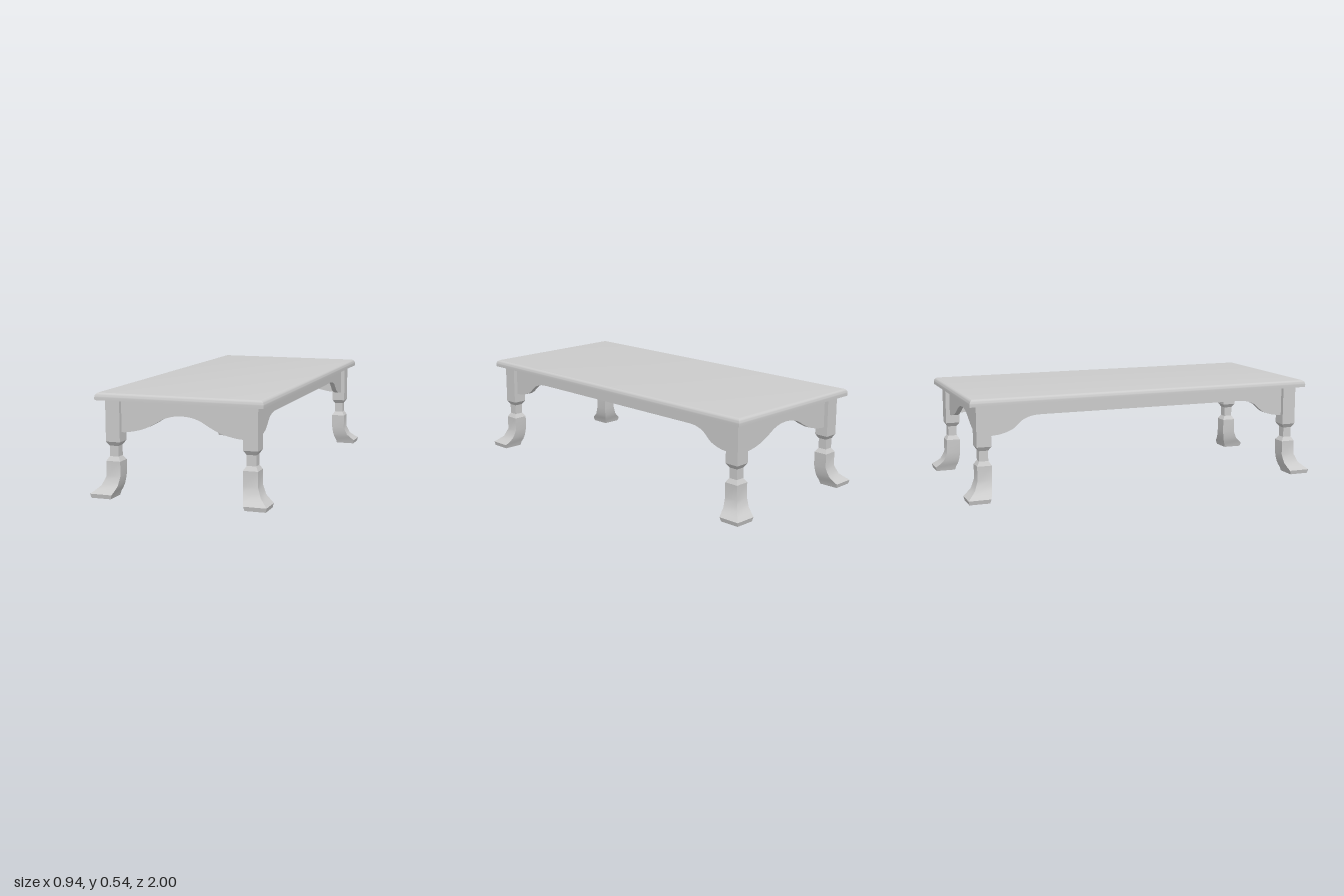
import * as THREE from 'three';
import { toCreasedNormals } from 'three/addons/utils/BufferGeometryUtils.js';

const material = new THREE.MeshStandardMaterial({ color: 0xcccccc });

// Lofts rectangular sections [y, x0, x1, z0, z1], listed bottom to top, into a capped solid
function loftRects(sections) {
  const pos = [], index = [];
  for (const [y, x0, x1, z0, z1] of sections) {
    pos.push(x0, y, z1, x1, y, z1, x1, y, z0, x0, y, z0);
  }
  for (let s = 0; s < sections.length - 1; s++) {
    for (let i = 0; i < 4; i++) {
      const a = s * 4 + i, b = s * 4 + (i + 1) % 4;
      index.push(a, b, b + 4, a, b + 4, a + 4);
    }
  }
  const t = (sections.length - 1) * 4;
  index.push(0, 2, 1, 0, 3, 2, t, t + 1, t + 2, t, t + 2, t + 3);
  const geo = new THREE.BufferGeometry();
  geo.setAttribute('position', new THREE.Float32BufferAttribute(pos, 3));
  geo.setIndex(index);
  return toCreasedNormals(geo, 0.5);
}

function addMesh(parent, name, geometry) {
  const mesh = new THREE.Mesh(geometry, material);
  mesh.name = name;
  parent.add(mesh);
  return mesh;
}

// Slab with a rounded upper edge and mitred corners
function tabletopGeometry() {
  const hx = 0.448, hz = 0.977, sections = [[0.502, -hx, hx, -hz, hz]];
  for (let i = 0; i <= 6; i++) {
    const a = (i / 6) * Math.PI / 2;
    const inset = 0.021 * (1 - Math.cos(a));
    const x = hx - inset, z = hz - inset;
    sections.push([0.517 + 0.024 * Math.sin(a), -x, x, -z, z]);
  }
  return loftRects(sections);
}

// Square leg sweeping diagonally out to its foot: [y, inner, outer]
const legProfile = [
  [0, 0.358, 0.467], [0.022, 0.352, 0.472], [0.04, 0.344, 0.45], [0.06, 0.338, 0.428],
  [0.083, 0.334, 0.418], [0.108, 0.331, 0.408], [0.185, 0.33, 0.408], [0.208, 0.345, 0.394],
  [0.263, 0.345, 0.394], [0.285, 0.33, 0.408], [0.502, 0.33, 0.408],
];
const LEG_DZ = 0.529; // z offset of a leg relative to x

function legGeometry(sx, sz) {
  const span = (s, a, b) => (s > 0 ? [a, b] : [-b, -a]);
  return loftRects(legProfile.map(([y, a, b]) =>
    [y, ...span(sx, a, b), ...span(sz, a + LEG_DZ, b + LEG_DZ)]));
}

// Apron board with a scalloped lower edge; half = [distance from centre, y], outside to centre
function apronGeometry(half, thickness) {
  const curve = new THREE.SplineCurve(half.map(([u, y]) => new THREE.Vector2(u, y)));
  const pts = curve.getPoints(28);
  const last = pts[pts.length - 1];
  const left = pts.map((p) => new THREE.Vector2(-p.x, p.y));
  const right = pts.slice(0, last.x < 1e-6 ? -1 : undefined).reverse();
  const end = half[0][0];
  const shape = new THREE.Shape([
    ...left, ...right, new THREE.Vector2(end, 0.502), new THREE.Vector2(-end, 0.502),
  ]);
  const geo = new THREE.ExtrudeGeometry(shape, { depth: thickness, bevelEnabled: false });
  geo.translate(0, 0, -thickness / 2);
  return toCreasedNormals(geo, 0.5);
}

export function createModel() {
  const table = new THREE.Group();
  table.name = 'lowTable';

  addMesh(table, 'tabletop', tabletopGeometry());

  for (const [zName, sz] of [['front', 1], ['back', -1]]) {
    for (const [xName, sx] of [['Left', 1], ['Right', -1]]) {
      addMesh(table, `${zName}${xName}Leg`, legGeometry(sx, sz));
    }
  }

  // Aprons sit recessed between the legs
  const thickness = 0.028, mid = 0.371;
  const endApron = apronGeometry([[0.335, 0.334], [0.3, 0.336], [0.25, 0.345], [0.2, 0.36],
    [0.15, 0.384], [0.1, 0.412], [0.05, 0.428], [0, 0.433]], thickness);
  const sideApron = apronGeometry([[0.865, 0.336], [0.8, 0.343], [0.74, 0.364], [0.7, 0.397],
    [0.675, 0.415], [0.63, 0.43], [0.58, 0.434]], thickness);
  for (const s of [1, -1]) {
    addMesh(table, s > 0 ? 'frontApron' : 'backApron', endApron).position.z = s * (mid + LEG_DZ);
    const side = addMesh(table, s > 0 ? 'leftApron' : 'rightApron', sideApron);
    side.rotation.y = Math.PI / 2;
    side.position.x = s * mid;
  }
  return table;
}
